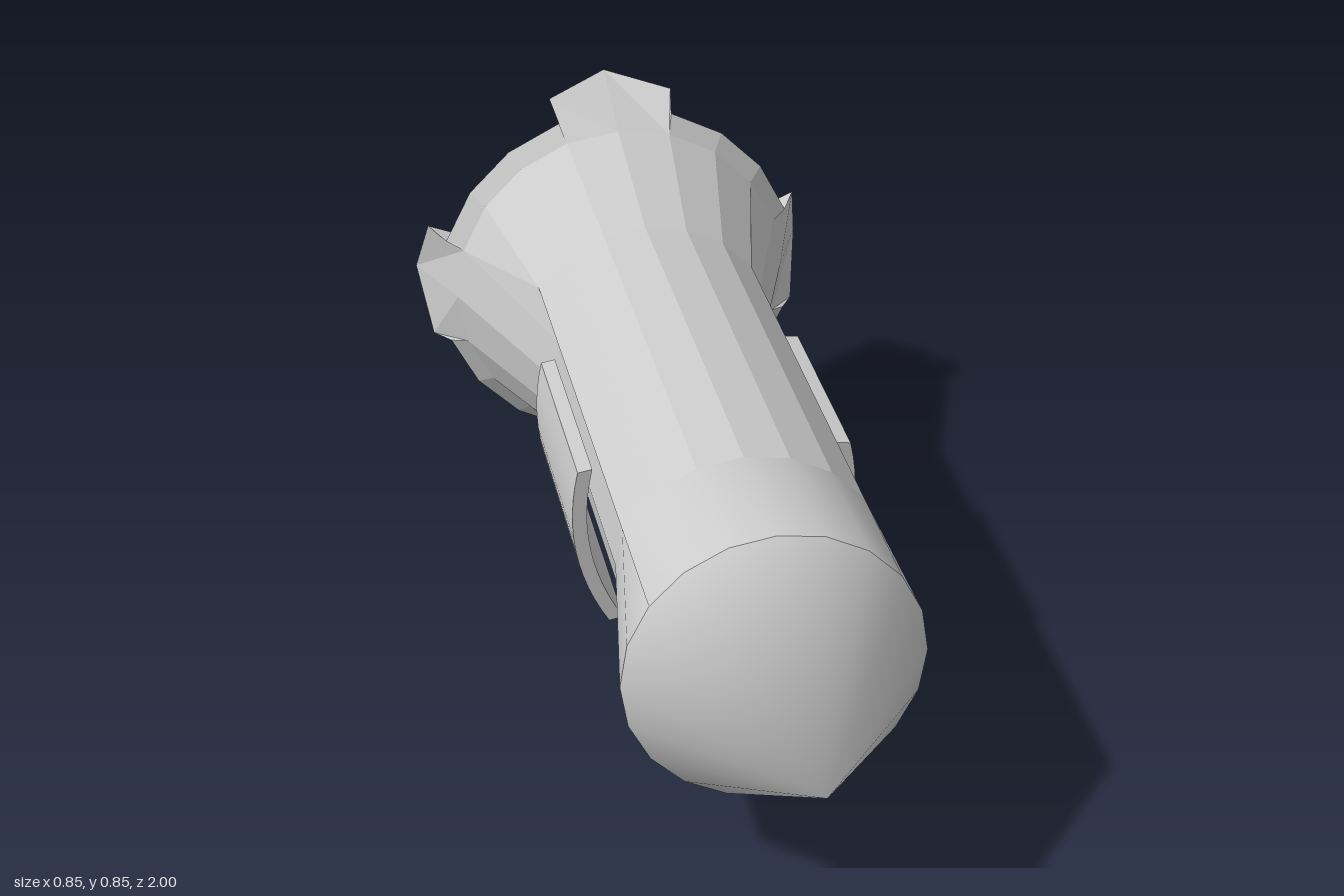
import * as THREE from 'three';
import { mergeVertices, toCreasedNormals } from 'three/addons/utils/BufferGeometryUtils.js';

const SIDES = 20, AXIS_Y = 0.425, R = 0.275, STEP = (Math.PI * 2) / SIDES;
const GROOVE = THREE.MathUtils.degToRad(99); // centre direction of the side recess
const REAR_Z = -0.865;

// Point on a ring; k counts clockwise from the top, seen from the front
const ringPoint = (k, r, z) =>
  new THREE.Vector3(r * Math.sin(k * STEP), r * Math.cos(k * STEP), z);

const makeRing = (fn) => Array.from({ length: SIDES }, (_, k) => fn(k));

// Recessed vertices lie at 72..126 degrees on each side
function recessed(k) {
  const m = Math.min(k, SIDES - k);
  return m >= 4 && m <= 7;
}

function bodyPoint(k, zFull, zRecess) {
  if (!recessed(k)) return ringPoint(k, R, zFull);
  const p = ringPoint(k, R, zRecess), side = k <= SIDES / 2 ? 1 : -1;
  p.x -= side * 0.06 * Math.sin(GROOVE);
  p.y -= 0.06 * Math.cos(GROOVE);
  return p;
}

// Skin consecutive rings, ordered from front to back, with flat facets
function loft(rings) {
  const pts = [];
  for (let i = 0; i < rings.length - 1; i++) {
    for (let j = 0; j < SIDES; j++) {
      const n = (j + 1) % SIDES;
      const a = rings[i][j], b = rings[i][n], c = rings[i + 1][n], d = rings[i + 1][j];
      if (!a.equals(b)) pts.push(a, b, d);
      if (!c.equals(d)) pts.push(b, c, d);
    }
  }
  return facets(pts);
}

function facets(pts) {
  const g = new THREE.BufferGeometry().setFromPoints(pts);
  g.computeVertexNormals();
  return g;
}

export function createModel() {
  const model = new THREE.Group();
  const grey = new THREE.MeshStandardMaterial({ color: 0xcccccc });
  const thin = new THREE.MeshStandardMaterial({ color: 0xcccccc, side: THREE.DoubleSide });

  const add = (name, geometry, material = grey) => {
    const mesh = new THREE.Mesh(geometry, material);
    mesh.name = name;
    mesh.position.y = AXIS_Y;
    model.add(mesh);
  };

  const shoulder = makeRing((k) => ringPoint(k, R, 0.63));
  const front = makeRing((k) => bodyPoint(k, 0.37, 0.27));
  const back = makeRing((k) => bodyPoint(k, -0.54, -0.43));
  const flare = makeRing((k) => ringPoint(k, 0.355, -0.835));

  // Smooth pointed nose
  let nose = loft([makeRing(() => new THREE.Vector3(0, 0, 1)), shoulder]);
  nose.deleteAttribute('normal');
  nose = mergeVertices(nose);
  nose.computeVertexNormals();
  add('nose', nose);

  // Smooth collar, then the faceted body with side recesses and the flared skirt
  add('collar', toCreasedNormals(loft([shoulder, front]), 0.4));
  add('body', loft([front, back]));
  add('tailFlare', loft([back, flare]));

  // Tail rim and rear fan: each quarter has a two-facet fin and a flat sector
  const hub = new THREE.Vector3(0, 0, REAR_Z);
  const low = (k) => ringPoint(k, 0.39, REAR_Z);
  const high = (k) => (k % 5 === 0 ? ringPoint(k, 0.425, -1) : ringPoint(k, 0.4225, -0.925));
  const rim = [], fins = [];
  for (let k = 0; k < SIDES; k++) {
    const n = (k + 1) % SIDES;
    const isFin = k % 5 === 0 || n % 5 === 0;
    const edge = isFin ? high : low;
    const a = flare[k], b = flare[n], c = edge(n), d = edge(k);
    (isFin ? fins : rim).push(a, b, d, b, c, d, d, c, hub);
    // Step between fin and sector
    if (k % 5 === 1 || k % 5 === 4) {
      fins.push(hub, low(k), high(k), low(k), flare[k], high(k));
    }
  }
  add('tailRim', facets(rim), thin);
  add('tailFins', facets(fins), thin);

  // Curved side panels floating over the recesses
  for (const side of [1, -1]) {
    const dx = Math.sin(GROOVE), dy = Math.cos(GROOVE);
    const at = (t, drop) => {
      const u = 0.236 + 0.034 * (1 - t * t) - drop, v = 0.171 * t;
      return new THREE.Vector2(side * (u * dx - v * dy), u * dy + v * dx);
    };
    const ts = Array.from({ length: 13 }, (_, i) => -1 + i / 6);
    const outline = [...ts.map((t) => at(t, 0)), ...ts.reverse().map((t) => at(t, 0.028))];
    const panel = new THREE.ExtrudeGeometry(new THREE.Shape(outline), {
      depth: 0.42, bevelEnabled: false,
    });
    panel.translate(0, 0, -0.285);
    add(side > 0 ? 'leftPanel' : 'rightPanel', toCreasedNormals(panel, 0.5));
  }
  return model;
}
